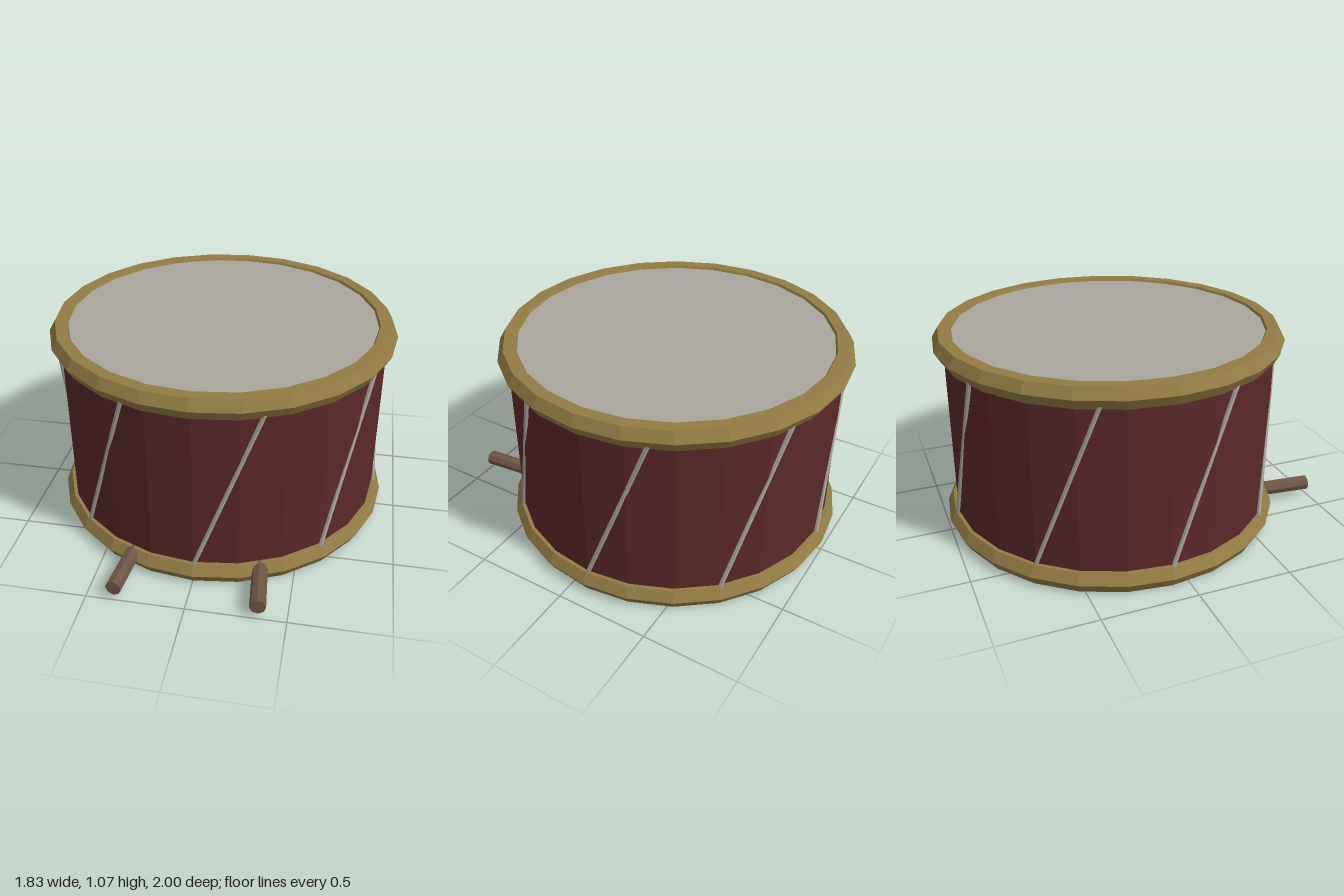
import * as THREE from 'three';

const SIDES = 24;
const CENTRE_Z = -0.085;

function material(name, color) {
  const m = new THREE.MeshStandardMaterial({ color, flatShading: true });
  m.name = name;
  return m;
}

function mesh(name, geometry, mat, parent) {
  const m = new THREE.Mesh(geometry, mat);
  m.name = name;
  parent.add(m);
  return m;
}

// Straight rod between two points
function rod(name, from, to, rFrom, rTo, sides, mat, parent) {
  const dir = to.clone().sub(from);
  const m = mesh(name, new THREE.CylinderGeometry(rTo, rFrom, dir.length(), sides), mat, parent);
  m.position.copy(from).add(to).multiplyScalar(0.5);
  m.quaternion.setFromUnitVectors(new THREE.Vector3(0, 1, 0), dir.normalize());
  return m;
}

export function createModel() {
  const model = new THREE.Group();
  model.name = 'drum';
  const red = material('dark red', 0x5a2828);
  const gold = material('old gold', 0x927b43);
  const skin = material('pale skin', 0xaaa69c);
  const wood = material('brown wood', 0x6e5545);

  const drum = new THREE.Group();
  drum.name = 'drumBody';
  drum.position.z = CENTRE_Z;
  model.add(drum);

  // Shell with a closed bottom
  const bottom = 0.037, top = 1.05;
  mesh('shell', new THREE.CylinderGeometry(0.865, 0.865, top - bottom, SIDES), red, drum)
    .position.y = (top + bottom) / 2;

  // Drum skin, just below the top of the upper rim
  mesh('drumSkin', new THREE.CylinderGeometry(0.83, 0.83, 0.02, SIDES), skin, drum)
    .position.y = 1.052;

  // Hexagonal-section rims
  for (const [name, y] of [['lowerRim', 0.0535], ['upperRim', 1.0205]]) {
    const g = new THREE.TorusGeometry(0.853, 0.062, 6, SIDES).rotateX(Math.PI / 2);
    mesh(name, g, gold, drum).position.y = y;
  }

  // Slanted tension cords
  const at = (a, y) => new THREE.Vector3(0.875 * Math.sin(a), y, 0.875 * Math.cos(a));
  for (let i = 0; i < 8; i++) {
    const a = (i * Math.PI) / 4;
    rod('cord', at(a, 0.09), at(a + Math.PI / 8, 0.99), 0.012, 0.012, 6, skin, drum);
  }

  // Pair of drumsticks lying under the drum
  for (const side of [1, -1]) {
    const stick = new THREE.Group();
    stick.name = side > 0 ? 'leftStick' : 'rightStick';
    const butt = new THREE.Vector3(side * 0.357, 0.07, 0.995);
    const tip = new THREE.Vector3(side * 0.22, 0.07, -0.45);
    rod('stickShaft', butt, tip, 0.041, 0.037, 8, wood, stick);
    mesh('stickTip', new THREE.SphereGeometry(0.064, 8, 6), wood, stick).position.copy(tip);
    model.add(stick);
  }
  return model;
}
